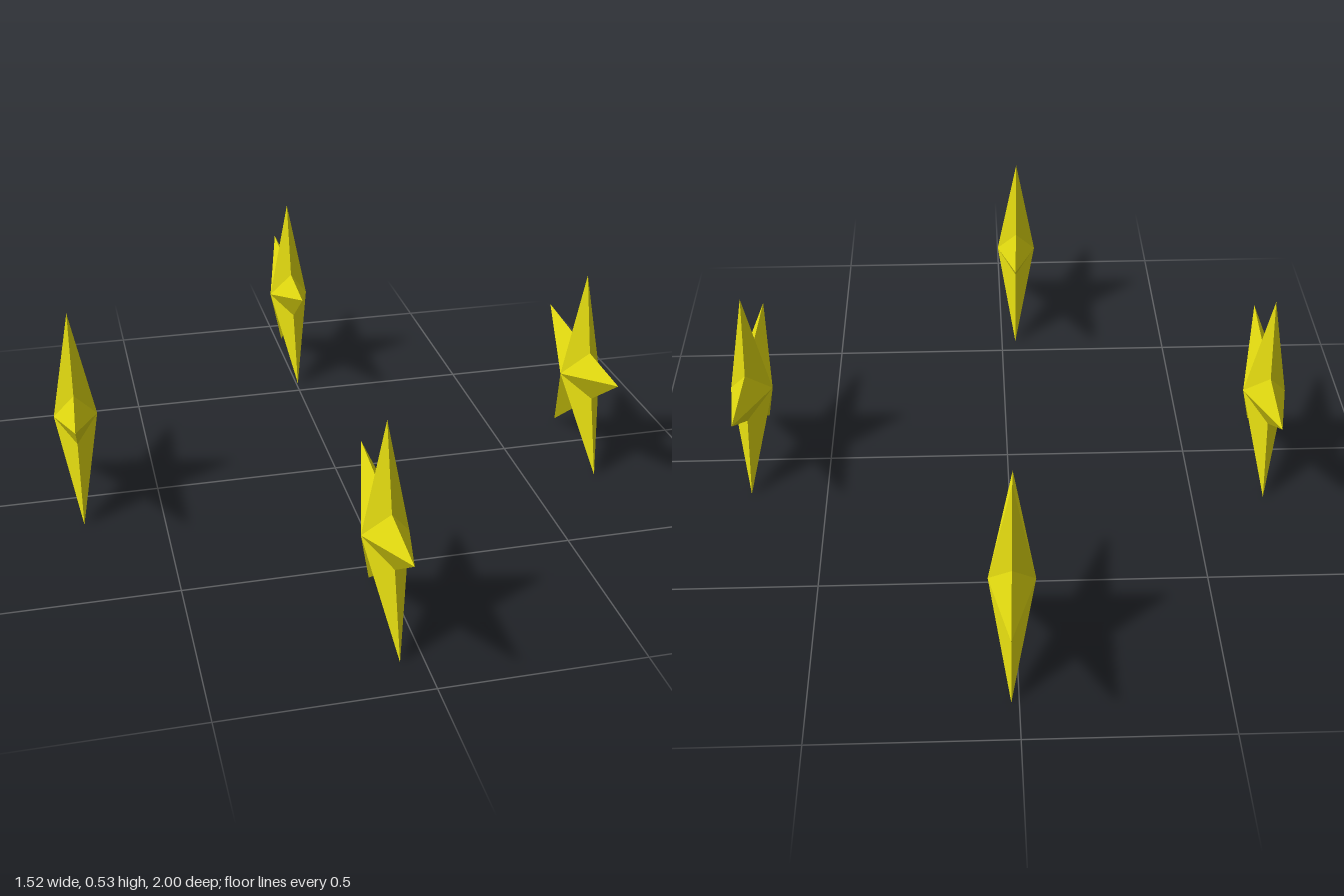
import * as THREE from 'three';

const TIP = 0.293, NOTCH = 0.108, DEPTH = 0.057, POINTS = 5;

// Faceted five-pointed star in the YZ plane, with a raised centre on both sides
function starGeometry() {
  const rim = (i) => {
    const r = i % 2 ? NOTCH : TIP;
    const a = (i * Math.PI) / POINTS;
    return [0, r * Math.cos(a), r * Math.sin(a)];
  };
  const pos = [];
  for (let i = 0; i < POINTS * 2; i++) {
    const a = rim(i), b = rim(i + 1);
    pos.push(DEPTH, 0, 0, ...a, ...b);
    pos.push(-DEPTH, 0, 0, ...b, ...a);
  }
  const geo = new THREE.BufferGeometry();
  geo.setAttribute('position', new THREE.Float32BufferAttribute(pos, 3));
  geo.computeVertexNormals();
  return geo;
}

export function createModel() {
  const group = new THREE.Group();
  group.name = 'stars';
  const geo = starGeometry();
  const gold = new THREE.MeshStandardMaterial({ color: 0xddd50f, flatShading: true });

  // Four stars in a diamond layout, all turned by the same small angle
  const places = [
    ['frontStar', -0.049, 0.72],
    ['backStar', 0.012, -0.72],
    ['leftStar', 0.701, 0.028],
    ['rightStar', -0.702, -0.028],
  ];
  for (const [name, x, z] of places) {
    const star = new THREE.Mesh(geo, gold);
    star.name = name;
    star.position.set(x, TIP * Math.cos(Math.PI / POINTS), z);
    star.rotation.y = -0.04;
    group.add(star);
  }
  return group;
}
